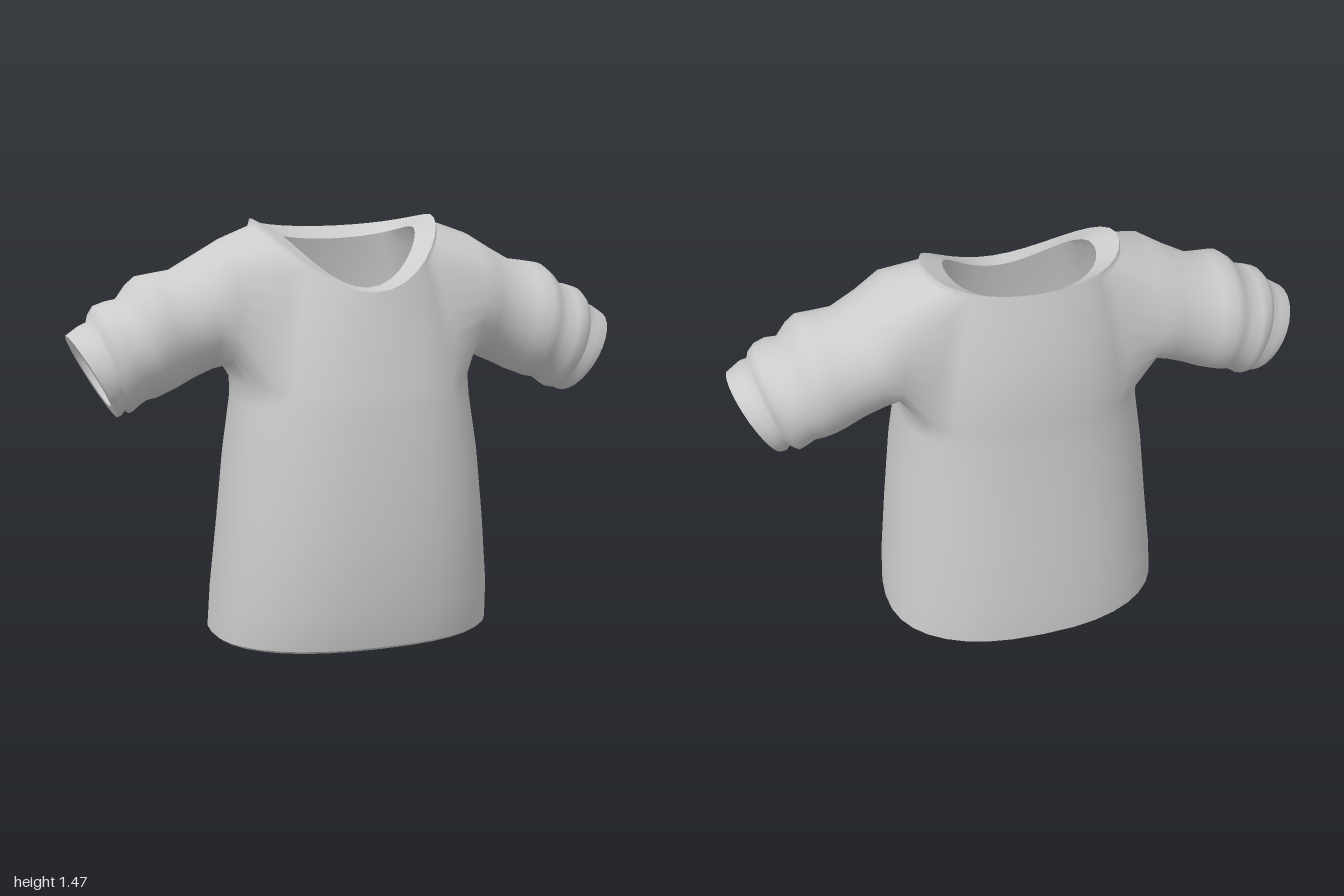
import * as THREE from 'three';

const N = 36;          // columns around the body
const HALF = 4;        // half width of an armhole, in columns
const LOW = 5, HIGH = 11; // armhole rows
const material = new THREE.MeshStandardMaterial({ color: 0xcccccc, side: THREE.DoubleSide });
const lerp = THREE.MathUtils.lerp;
const soft = (v, p) => Math.sign(v) * Math.abs(v) ** p;

// Body sections: height, half width, front z, back z
const sections = [
  [0.01, 0.512, 0.35, -0.385],
  [0.15, 0.505, 0.38, -0.387],
  [0.40, 0.48, 0.39, -0.37],
  [0.65, 0.455, 0.378, -0.355],
  [0.85, 0.425, 0.36, -0.345],
];
// Steps from the chest section up to the neckline
const steps = [0.12, 0.27, 0.42, 0.57, 0.72, 0.85, 0.96, 1];

// Sleeve sections: top x, top y, bottom x, bottom y, back z, front z
const sleeveSections = [
  [0.45, 1.41, 0.45, 0.972, -0.268, 0.195],
  [0.54, 1.358, 0.50, 0.96, -0.255, 0.165],
  [0.63, 1.308, 0.57, 0.93, -0.245, 0.155],
  [0.70, 1.298, 0.63, 0.90, -0.255, 0.172],
  [0.75, 1.29, 0.67, 0.885, -0.262, 0.187],
  [0.785, 1.262, 0.70, 0.872, -0.25, 0.18],
  [0.82, 1.215, 0.735, 0.865, -0.232, 0.163],
  [0.86, 1.208, 0.76, 0.852, -0.243, 0.182],
  [0.90, 1.195, 0.785, 0.83, -0.23, 0.175],
  [0.92, 1.17, 0.80, 0.826, -0.198, 0.16],
  [0.927, 1.142, 0.812, 0.838, -0.185, 0.15],
  [0.955, 1.13, 0.825, 0.822, -0.194, 0.163],
  [1.0, 1.10, 0.84, 0.815, -0.178, 0.15],
];

function bodyPoint([y, w, front, back], a) {
  const mid = (front + back) / 2, depth = (front - back) / 2;
  return new THREE.Vector3(w * soft(Math.sin(a), 0.85), y, mid + depth * soft(Math.cos(a), 0.85));
}

// Neckline: low in front, highest at the shoulders
function neckPoint(a) {
  const z = 0.28 * Math.cos(a) - 0.06 * Math.sin(a) ** 2;
  const y = z > -0.07
    ? 1.475 - 0.235 * ((z + 0.07) / 0.35) ** 1.7
    : 1.475 - 0.05 * ((-0.07 - z) / 0.21) ** 1.5;
  return new THREE.Vector3(0.335 * Math.sin(a), y, z);
}

function upperPoint(t, a) {
  const p = bodyPoint(sections[sections.length - 1], a).lerp(neckPoint(a), t);
  const bulge = 1 + Math.sin(Math.PI * t) * lerp(0.07, 0.01, Math.max(0, Math.cos(a)) ** 2);
  p.x *= bulge;
  p.z *= bulge;
  return p;
}

function makeMesh(name, points, index) {
  const geometry = new THREE.BufferGeometry().setFromPoints(points);
  geometry.setIndex(index);
  geometry.computeVertexNormals();
  const mesh = new THREE.Mesh(geometry, material);
  mesh.name = name;
  return mesh;
}

const quad = (index, a, b, c, d) => index.push(a, b, c, a, c, d);

// Closed strips between successive rings of equal length
function makeRim(name, rings) {
  const n = rings[0].length, index = [];
  for (let j = 0; j < rings.length - 1; j++) {
    for (let i = 0; i < n; i++) {
      const k = (i + 1) % n;
      quad(index, j * n + i, j * n + k, (j + 1) * n + k, (j + 1) * n + i);
    }
  }
  return makeMesh(name, rings.flat(), index);
}

export function createModel() {
  const group = new THREE.Group();
  group.name = 'shirt';
  const points = [], index = [];
  const angles = Array.from({ length: N }, (_, i) => (i / N) * Math.PI * 2);

  // Body tube, leaving out the armholes
  const rows = [
    ...sections.map(s => angles.map(a => bodyPoint(s, a))),
    ...steps.map(t => angles.map(a => upperPoint(t, a))),
  ];
  points.push(...rows.flat());
  const id = (i, j) => j * N + (i + N) % N;
  const inHole = (i, j) => j >= LOW && j < HIGH &&
    [N / 4, 3 * N / 4].some(c => i >= c - HALF && i < c + HALF);
  for (let j = 0; j < rows.length - 1; j++) {
    for (let i = 0; i < N; i++) {
      if (!inHole(i, j)) quad(index, id(i, j), id(i + 1, j), id(i + 1, j + 1), id(i, j + 1));
    }
  }

  // Sleeves grow out of the armhole edges
  for (const side of [1, -1]) {
    const c = side > 0 ? N / 4 : 3 * N / 4;
    let previous = [];
    for (let i = c; i > c - HALF; i--) previous.push(id(i, HIGH));
    for (let j = HIGH; j > LOW; j--) previous.push(id(c - HALF, j));
    for (let i = c - HALF; i < c + HALF; i++) previous.push(id(i, LOW));
    for (let j = LOW; j < HIGH; j++) previous.push(id(c + HALF, j));
    for (let i = c + HALF; i > c; i--) previous.push(id(i, HIGH));
    const n = previous.length;
    let ring;
    for (const [tx, ty, bx, by, back, front] of sleeveSections) {
      ring = previous.map((_, k) => {
        const phi = (k / n) * Math.PI * 2, u = (1 + Math.cos(phi)) / 2;
        const z = (front + back) / 2 + side * Math.sin(phi) * (front - back) / 2;
        return new THREE.Vector3(side * lerp(bx, tx, u), lerp(by, ty, u), z);
      });
      const current = ring.map((_, k) => points.length + k);
      points.push(...ring);
      for (let k = 0; k < n; k++) {
        const m = (k + 1) % n;
        quad(index, previous[k], previous[m], current[m], current[k]);
      }
      previous = current;
    }
    // Cuff edge turned inward
    const centre = new THREE.Vector3(side * 0.92, 0.9575, -0.014);
    const inner = ring.map(p => p.clone().lerp(centre, 0.27));
    group.add(makeRim(side > 0 ? 'leftCuffRim' : 'rightCuffRim', [ring, inner]));
  }
  group.add(makeMesh('bodyAndSleeves', points, index));

  // Neckline edge turned inward
  const neck = rows[rows.length - 1];
  const neckInner = neck.map((p, i) => new THREE.Vector3(
    p.x * 0.775, p.y - lerp(0.042, -0.008, Math.max(0, Math.cos(angles[i]))), p.z * 0.76 - 0.012));
  group.add(makeRim('collarRim', [neck, neckInner]));

  // Bottom hem with a small bevel, turned inward
  const hemRing = (inset, y) => angles.map(a =>
    bodyPoint([y, 0.512 - inset, 0.35 - inset, -0.385 + inset], a));
  group.add(makeRim('hemRim', [hemRing(0.055, 0.004), hemRing(0.012, 0), hemRing(0, 0.01)]));

  return group;
}
